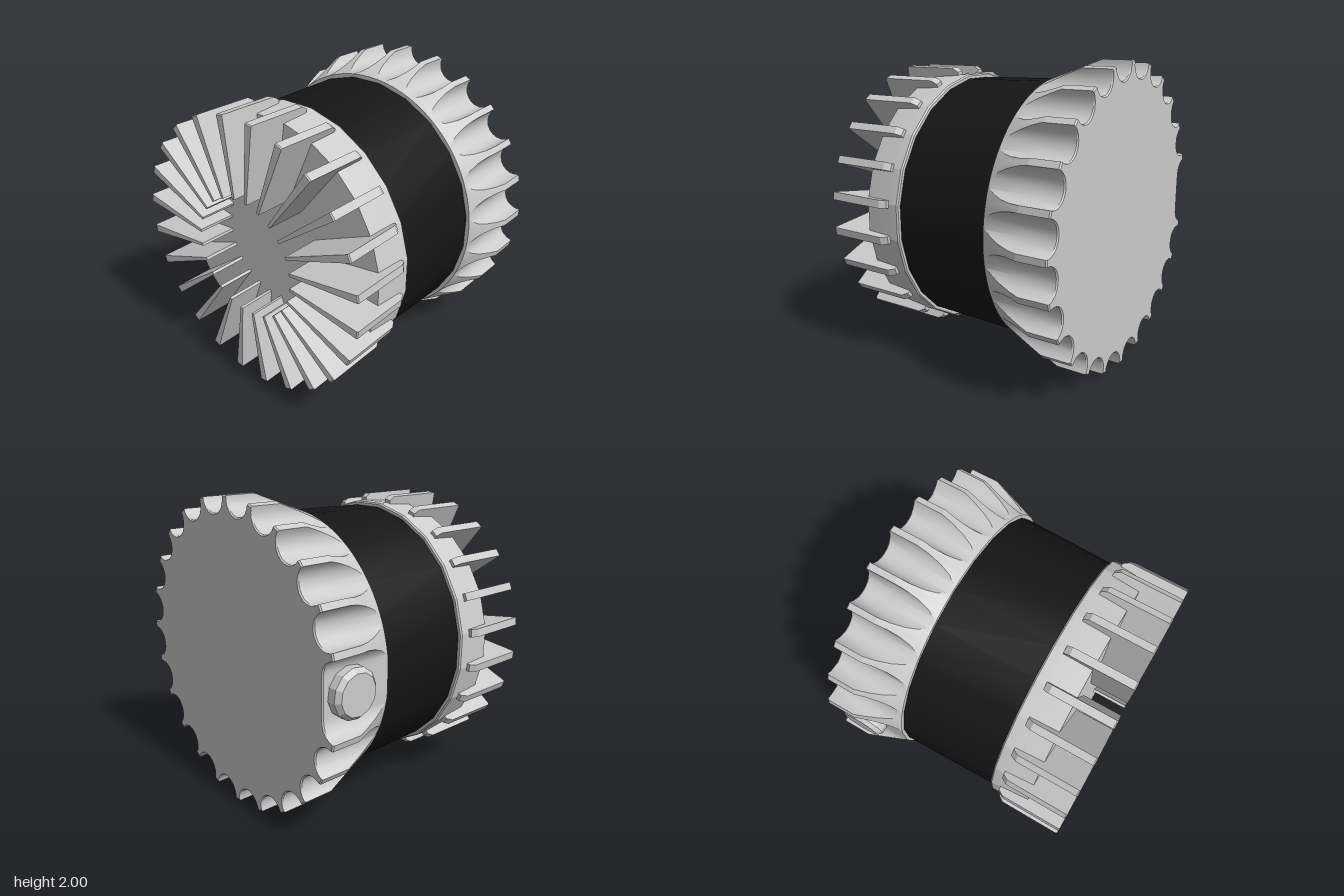
import * as THREE from 'three';
import { toCreasedNormals } from 'three/addons/utils/BufferGeometryUtils.js';

const COUNT = 24;
const STEP = (Math.PI * 2) / COUNT;
const grey = new THREE.MeshStandardMaterial({ color: 0xcccccc });
const black = new THREE.MeshStandardMaterial({ color: 0x151515 });

function part(name, geometry, material = grey) {
  const mesh = new THREE.Mesh(geometry, material);
  mesh.name = name;
  return mesh;
}

// Turned solid; profile points are [radius, height along the axis]
function turned(profile, sides, crease = 0.5) {
  const points = profile.map(([r, h]) => new THREE.Vector2(r, h));
  return toCreasedNormals(new THREE.LatheGeometry(points, sides, STEP / 2), crease);
}

// Grip knob: a cone and cylinder with round flutes cut lengthwise into the rim
function knobGeometry() {
  const cut = 0.11, arcSteps = 10, frontR = 0.888;
  const columns = [];
  for (let k = 0; k < COUNT; k++) {
    columns.push([k * STEP, 1]); // middle of a tooth tip
    for (let i = 0; i <= arcSteps; i++) {
      const phi = (i / arcSteps - 0.5) * Math.PI;
      const u = 1 - cut * Math.cos(phi), v = cut * Math.sin(phi);
      columns.push([(k + 0.5) * STEP + Math.atan2(v, u), Math.min(1, Math.hypot(u, v))]);
    }
  }
  // One tooth is left out for the flat seat of the button
  for (const column of columns) {
    const d = column[0] - Math.PI;
    if (Math.abs(d) < STEP / 2 + 0.001) column[1] = Math.min(column[1], 0.882 / Math.cos(d));
  }
  const n = columns.length, position = [], index = [];
  const rows = [
    () => [0, -0.35],
    (s) => [Math.min(frontR, s), -0.35],
    (s) => [s, -0.35 - 0.29 * Math.max(0.003, (s - frontR) / (1 - frontR))], // where flute meets cone
    (s) => [s, -0.645],
    (s) => [s, -0.832],
    (s) => [s - 0.008, -0.84],
    () => [0, -0.84],
  ];
  rows.forEach((row, i) => {
    columns.forEach(([angle, s], j) => {
      const [r, z] = row(s);
      position.push(r * Math.cos(angle), r * Math.sin(angle), z);
      if (i === rows.length - 1) return;
      const a = i * n + j, b = i * n + ((j + 1) % n);
      index.push(a, a + n, b, b, a + n, b + n);
    });
  });
  const geometry = new THREE.BufferGeometry();
  geometry.setAttribute('position', new THREE.Float32BufferAttribute(position, 3));
  geometry.setIndex(index);
  return toCreasedNormals(geometry, 0.5);
}

// Cooling fin: side profile in radius and depth, growing thicker outwards
function finGeometry() {
  const outline = [[0.4, 0.5], [0.8, 0.5], [0.8, 0.39], [0.9, 0.39], [0.925, 0.43],
    [0.925, 0.833], [0.918, 0.84], [0.4, 0.84]];
  const shape = new THREE.Shape(outline.map(([r, z]) => new THREE.Vector2(r, z)));
  const geometry = new THREE.ExtrudeGeometry(shape, { depth: 1, bevelEnabled: false });
  const p = geometry.attributes.position;
  for (let i = 0; i < p.count; i++) {
    const width = THREE.MathUtils.mapLinear(p.getX(i), 0.4, 0.925, 0.02, 0.052);
    p.setZ(i, (p.getZ(i) - 0.5) * width);
  }
  geometry.rotateX(Math.PI / 2);
  geometry.computeVertexNormals();
  return geometry;
}

export function createModel() {
  const model = new THREE.Group();
  model.name = 'finnedKnob';
  const body = new THREE.Group();
  body.name = 'body';
  body.position.set(-0.018, 1, 0);
  model.add(body);

  body.add(part('gripKnob', knobGeometry()));

  // Dark band around the middle
  const band = turned([[0, -0.36], [0.867, -0.36], [0.853, 0.325], [0, 0.325]], COUNT);
  body.add(part('band', band.rotateX(Math.PI / 2), black));

  // Front drum that carries the fins
  const drum = turned([[0, 0.315], [0.872, 0.315], [0.88, 0.325], [0.88, 0.4], [0.865, 0.58], [0, 0.58]], COUNT, 0.1);
  body.add(part('drum', drum.rotateX(Math.PI / 2)));

  // Ring of fins
  const fins = new THREE.Group();
  fins.name = 'fins';
  const fin = finGeometry();
  for (let k = 0; k < COUNT; k++) {
    const mesh = part('fin', fin);
    mesh.rotation.z = (k + 0.5) * STEP;
    fins.add(mesh);
  }
  body.add(fins);

  // Side button on the flat of the knob
  const button = turned([[0, 0.84], [0.155, 0.84], [0.155, 0.935], [0.128, 0.964], [0, 0.964]], 12, 0.3);
  button.rotateZ(Math.PI / 2).translate(0, 0, -0.65);
  body.add(part('button', button));

  return model;
}
